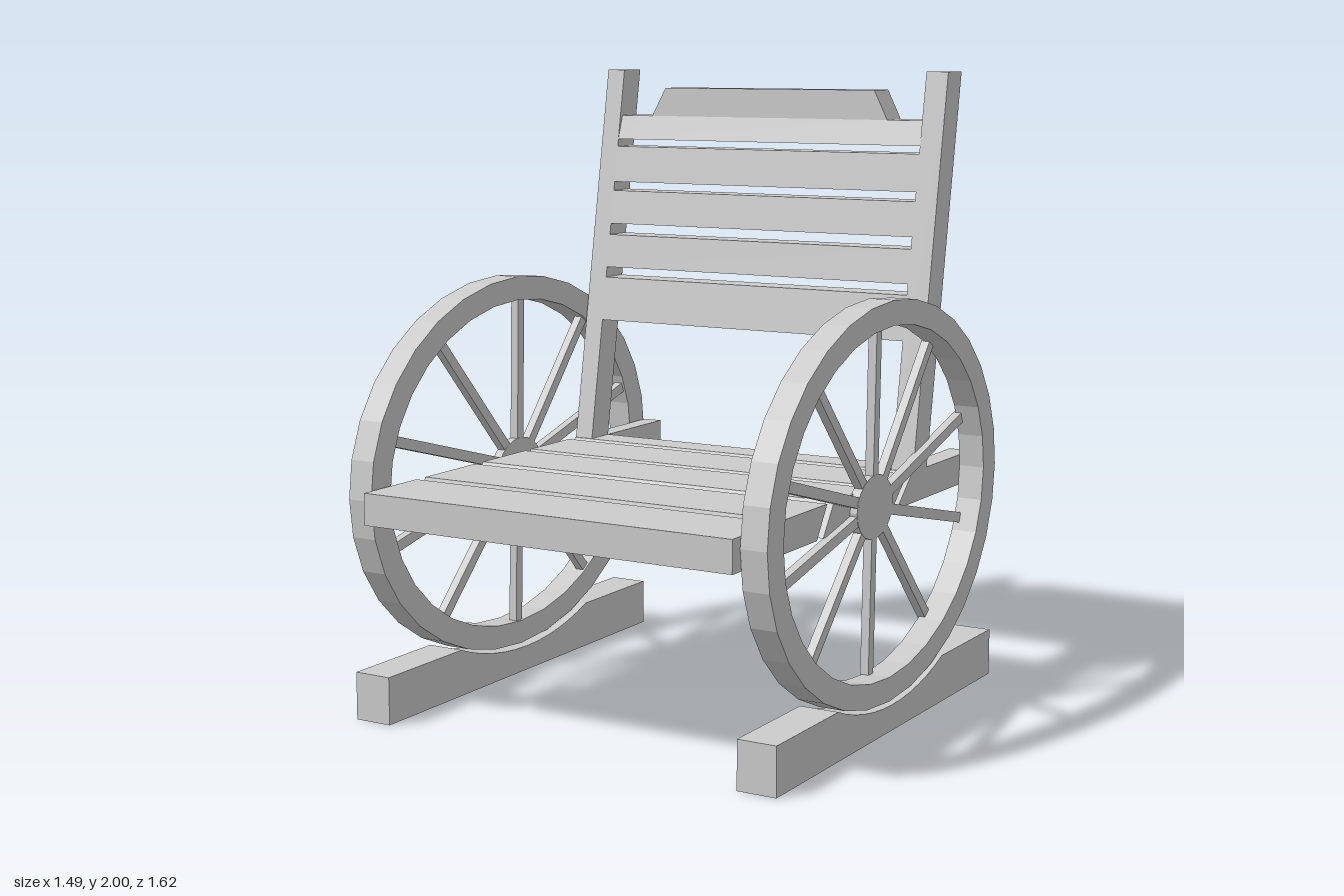
import * as THREE from 'three';

const material = new THREE.MeshStandardMaterial({ color: 0xcccccc, flatShading: true });

// Extrudes a [z, y] outline along x, from x0 to x1; a hole runs the other way round
function extrudeX(name, outline, x0, x1, hole) {
  const toVec = ([z, y]) => new THREE.Vector2(-z, y);
  const shape = new THREE.Shape(outline.map(toVec));
  if (hole) shape.holes.push(new THREE.Path(hole.map(toVec).reverse()));
  const geometry = new THREE.ExtrudeGeometry(shape, { depth: x1 - x0, bevelEnabled: false });
  geometry.rotateY(Math.PI / 2).translate(x0, 0, 0);
  const mesh = new THREE.Mesh(geometry, material);
  mesh.name = name;
  return mesh;
}

// Box given by its two corners
function block(name, [x0, y0, z0], [x1, y1, z1]) {
  const mesh = new THREE.Mesh(new THREE.BoxGeometry(x1 - x0, y1 - y0, z1 - z0), material);
  mesh.position.set((x0 + x1) / 2, (y0 + y1) / 2, (z0 + z1) / 2);
  mesh.name = name;
  return mesh;
}

function ellipse(cz, cy, rz, ry, sides) {
  return Array.from({ length: sides }, (_, i) => {
    const a = (i / sides) * Math.PI * 2;
    return [cz + rz * Math.cos(a), cy + ry * Math.sin(a)];
  });
}

const wheelZ = -0.02, wheelY = 0.71;

// Oval wagon wheel: rim, hub and ten spokes
function wheel(name, x0, x1, spokeX) {
  const group = new THREE.Group();
  group.name = name;
  const hubZ = -0.035, hubY = 0.69, half = 0.014;
  group.add(extrudeX('rim', ellipse(wheelZ, wheelY, 0.79, 0.62, 32), x0, x1,
    ellipse(wheelZ, wheelY, 0.695, 0.543, 32)));
  group.add(extrudeX('hub', ellipse(hubZ, hubY, 0.125, 0.1, 20), spokeX - half - 0.001, spokeX + half + 0.001));
  for (let i = 0; i < 10; i++) {
    const a = Math.PI / 2 + (i * Math.PI) / 5;
    const lean = i % 5 ? 0 : 0.016 * Math.sin(a);
    const dz = wheelZ + 0.71 * Math.cos(a) - lean - hubZ - (i % 5 ? 0 : 0.015);
    const dy = wheelY + 0.555 * Math.sin(a) - hubY;
    const spoke = new THREE.Mesh(new THREE.BoxGeometry(half * 2, 0.034, Math.hypot(dz, dy)), material);
    spoke.name = 'spoke';
    spoke.position.set(spokeX, hubY + dy / 2, hubZ + dz / 2);
    spoke.rotation.x = -Math.atan2(dy, dz);
    group.add(spoke);
  }
  return group;
}

// Ground runner with a shallow curved seat for the wheel
function runner(name, x0, x1) {
  const top = 0.152, rz = 0.798, ry = 0.628;
  const start = Math.asin((top - wheelY) / ry);
  const seat = Array.from({ length: 13 }, (_, i) => {
    const a = start + ((-Math.PI - 2 * start) * i) / 12;
    return [wheelZ + rz * Math.cos(a), wheelY + ry * Math.sin(a)];
  });
  return extrudeX(name, [[-0.77, 0], [0.727, 0], [0.727, top], ...seat, [-0.77, top]], x0, x1);
}

// Front face of the leaning back at height y
const backZ = (y) => -0.355 - 0.175 * (y - 0.745);
const backDepth = 0.103;

// Leaning slab, level at top and bottom
function leaning(name, x0, x1, y0, y1) {
  return extrudeX(name, [
    [backZ(y0), y0], [backZ(y1), y1], [backZ(y1) - backDepth, y1], [backZ(y0) - backDepth, y0],
  ], x0, x1);
}

// Top slat with a raised centre that stands upright above the shoulders
function crestSlat() {
  const shape = new THREE.Shape([
    [-0.57, 1.765], [0.567, 1.765], [0.567, 1.845], [0.437, 1.845],
    [0.39, 1.94], [-0.397, 1.94], [-0.45, 1.845], [-0.57, 1.845],
  ].map(([x, y]) => new THREE.Vector2(x, y)));
  const geometry = new THREE.ExtrudeGeometry(shape, { depth: backDepth, bevelEnabled: false });
  const p = geometry.attributes.position;
  for (let i = 0; i < p.count; i++) {
    p.setZ(i, p.getZ(i) - backDepth + (p.getY(i) < 1.8 ? backZ(p.getY(i)) : -0.561));
  }
  geometry.computeVertexNormals();
  const mesh = new THREE.Mesh(geometry, material);
  mesh.name = 'crestSlat';
  return mesh;
}

export function createModel() {
  const model = new THREE.Group();
  model.name = 'wagonWheelChair';
  const left = 0.643, right = -0.635;

  // Ground runners
  model.add(runner('rightRunner', -0.747, -0.62));
  model.add(runner('leftRunner', 0.613, 0.74));

  // Wheels serving as arms
  model.add(wheel('rightWheel', -0.725, -0.64, -0.662));
  model.add(wheel('leftWheel', 0.645, 0.73, 0.652));

  // Seat slats with slanted edges: front top, front bottom, rear top, rear bottom
  const y0 = 0.645, y1 = 0.745;
  for (const [ft, fb, rt, rb] of [
    [0.81, 0.81, 0.55, 0.58],
    [0.505, 0.54, 0.24, 0.305],
    [0.195, 0.265, -0.045, 0.03],
    [-0.08, -0.005, -0.31, -0.2],
    [-0.35, -0.24, -0.46, -0.46],
  ]) {
    model.add(extrudeX('seatSlat', [[ft, y1], [rt, y1], [rb, y0], [fb, y0]], right, left));
  }

  // Rear rail ends and leaning posts
  for (const [x0, x1] of [[right, -0.57], [0.567, left]]) {
    model.add(block('rearRail', [x0, y0, -0.81], [x1, y1, -0.455]));
    model.add(leaning('backPost', x0, x1, y1, 2));
  }

  // Back slats
  for (const [a, b] of [[1.15, 1.295], [1.33, 1.44], [1.478, 1.59], [1.62, 1.74]]) {
    model.add(leaning('backSlat', -0.57, 0.567, a, b));
  }
  model.add(crestSlat());
  return model;
}
